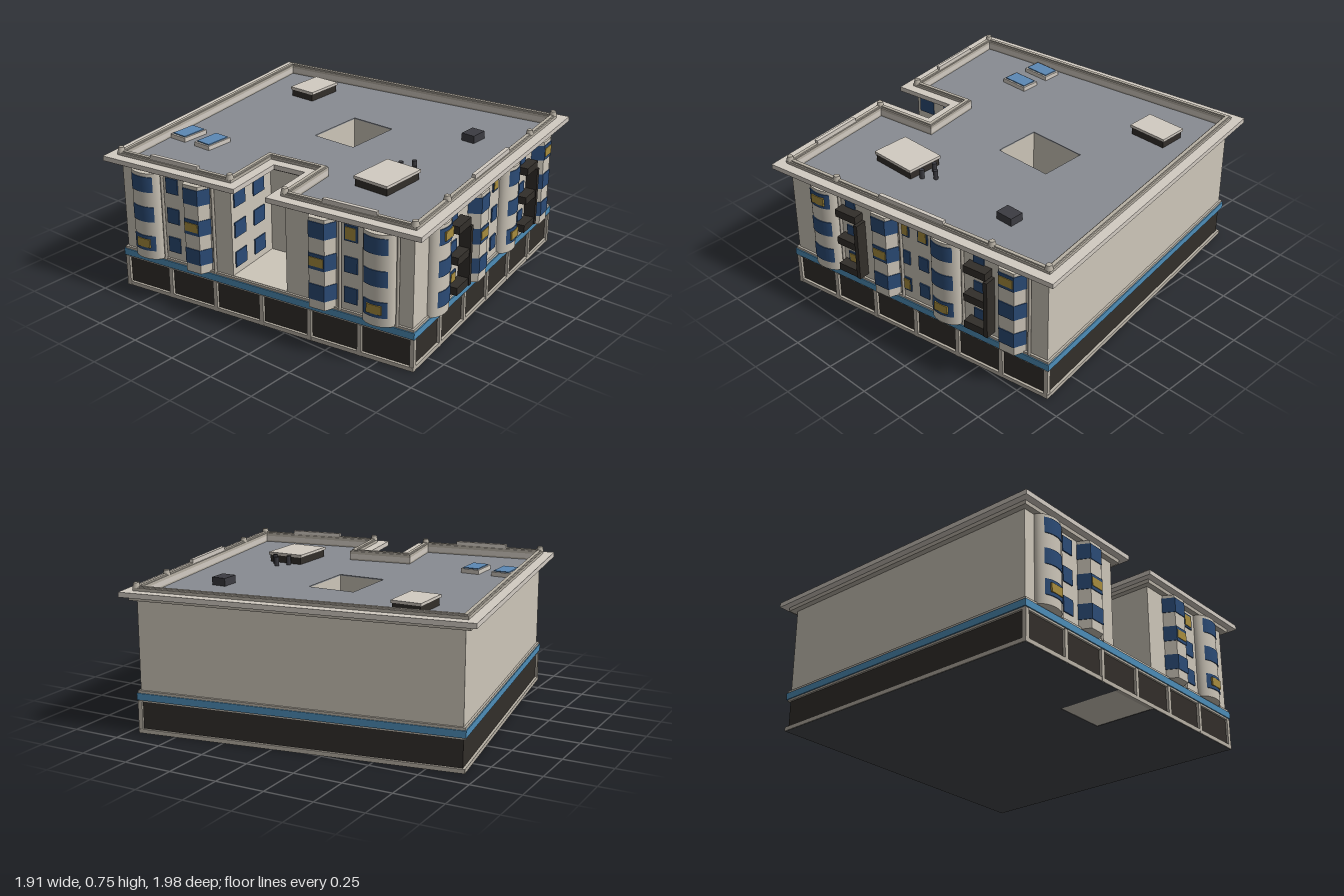
import * as THREE from 'three';
import { toCreasedNormals } from 'three/addons/utils/BufferGeometryUtils.js';

const TURN = THREE.MathUtils.degToRad(8.75);
const paint = (color) => new THREE.MeshStandardMaterial({ color });
const stone = paint(0xcdc6b9), trim = paint(0xb8b1a5), pale = paint(0xd2cbc2), dark = paint(0x322e2a);
const blue = paint(0x4d8db8), glass = paint(0x2b4b76), lit = paint(0xa88d3e), deck = paint(0x888c92);
const under = paint(0x46484b), sky = paint(0x5c88b5), metal = paint(0x3c3c42);

const HX = 0.765, HZ = 0.81; // half sizes of the walls
const FLOORS = [0.297, 0.453, 0.612];

function add(parent, name, geometry, material, x = 0, y = 0, z = 0) {
  const mesh = new THREE.Mesh(geometry, material);
  mesh.name = name;
  mesh.position.set(x, y, z);
  parent.add(mesh);
  return mesh;
}
const box = (parent, name, material, w, h, d, x, y, z) =>
  add(parent, name, new THREE.BoxGeometry(w, h, d), material, x, y, z);

// Plan outline of [x, z] points raised from y0 to y1
function slab(parent, name, material, pts, y0, y1, holes = []) {
  const flip = (list) => list.map(([x, z]) => new THREE.Vector2(x, -z));
  const shape = new THREE.Shape(flip(pts));
  for (const h of holes) shape.holes.push(new THREE.Path(flip(h)));
  const geo = new THREE.ExtrudeGeometry(shape, { depth: y1 - y0, bevelEnabled: false });
  geo.rotateX(-Math.PI / 2);
  return add(parent, name, toCreasedNormals(geo, 0.4), material, 0, y0, 0);
}

const rect = (x0, z0, x1, z1) => [[x0, z0], [x0, z1], [x1, z1], [x1, z0]];
const fullPlan = (o) => rect(-HX - o, -HZ - o, HX + o, HZ + o);

// Wall plan with the courtyard notch on one side, grown outwards by o
function notchedPlan(o) {
  const x = HX + o, z = HZ + o, back = -0.43 - o, n0 = -0.165 + o, n1 = 0.14 - o;
  return [[-x, -z], [-x, n0], [back, n0], [back, n1], [-x, n1], [-x, z], [x, z], [x, -z]];
}

// Plan of a projecting bay; part < 1 gives only its middle, out pushes it forward
function bayPlan(u, round, part = 1, out = 0) {
  if (!round) {
    const d = 0.055 + out, w = 0.07 + out;
    return [[u - w, 0], [u - 0.042, d], [u + 0.042, d], [u + w, 0]];
  }
  const pts = [];
  for (let i = 0; i <= 16; i++) {
    const a = Math.PI / 2 + (i / 16 - 0.5) * Math.PI * part;
    pts.push([u - Math.cos(a) * (0.085 + out), Math.sin(a) * (0.055 + out)]);
  }
  return pts.reverse();
}

function bay(parent, u, round, litFloor) {
  const g = new THREE.Group();
  g.name = round ? 'roundBay' : 'angledBay';
  parent.add(g);
  slab(g, 'bayWall', stone, bayPlan(u, round), 0.21, 0.67);
  FLOORS.forEach((y, i) => {
    slab(g, 'bayWindow', glass, bayPlan(u, round, 0.5, 0.004), y - 0.04, y + 0.04);
    if (i === litFloor) box(g, 'litPane', lit, 0.075, 0.045, 0.012, u, y, 0.056);
  });
  add(g, 'downpipe', new THREE.CylinderGeometry(0.008, 0.008, 0.46, 8), trim, u + 0.095, 0.44, 0.008);
}

function windows(parent, u, w, h, litFloors = []) {
  FLOORS.forEach((y, i) => {
    box(parent, 'window', glass, w, h, 0.008, u, y, 0.002);
    if (litFloors.includes(i)) box(parent, 'litPane', lit, w * 0.75, h * 0.75, 0.008, u, y, 0.005);
  });
}

function balconyStack(parent, u, litFloors) {
  windows(parent, u, 0.06, 0.08, litFloors);
  for (const y of FLOORS) box(parent, 'balcony', dark, 0.125, 0.04, 0.055, u + 0.01, y - 0.033, 0.0275);
  box(parent, 'balconyFin', dark, 0.022, 0.31, 0.06, u + 0.075, 0.4, 0.03);
}

export function createModel() {
  const model = new THREE.Group();
  model.name = 'building';
  const house = new THREE.Group();
  house.name = 'block';
  house.rotation.y = TURN;
  model.add(house);

  // Light shaft, square to the world axes
  const c = Math.cos(TURN), s = Math.sin(TURN);
  const shaft = rect(-0.03, -0.17, 0.29, 0.08).map(([x, z]) => [x * c - z * s, x * s + z * c]);

  // Ground floor
  slab(house, 'underside', under, notchedPlan(0.01), 0, 0.004);
  slab(house, 'shopFront', dark, fullPlan(0), 0.004, 0.17);
  slab(house, 'courtUnderside', stone, rect(-HX - 0.01, -0.155, -0.43, 0.13), 0.002, 0.008);
  slab(house, 'plinth', trim, fullPlan(0.013), 0.001, 0.022, [fullPlan(-0.01)]);
  slab(house, 'lowerTrim', trim, fullPlan(0.01), 0.16, 0.17);
  slab(house, 'signBand', blue, fullPlan(0.016), 0.17, 0.205);
  slab(house, 'upperTrim', trim, fullPlan(0.011), 0.205, 0.218);
  slab(house, 'courtFloor', stone, rect(-HX, -0.165, -0.43, 0.14), 0.21, 0.22);
  slab(house, 'shaftFloor', stone, shaft, 0.21, 0.222);

  // Upper walls and roof
  slab(house, 'walls', stone, notchedPlan(0), 0.21, 0.676, [shaft]);
  slab(house, 'roofDeck', deck, notchedPlan(-0.005), 0.676, 0.682, [shaft]);
  const inner = [notchedPlan(-0.017)];
  slab(house, 'fascia', trim, notchedPlan(0.03), 0.67, 0.69, inner);
  slab(house, 'cornice', pale, notchedPlan(0.065), 0.69, 0.715, inner);
  slab(house, 'parapet', trim, notchedPlan(0.015), 0.715, 0.73, inner);
  slab(house, 'coping', trim, notchedPlan(0.008), 0.73, 0.737, [notchedPlan(-0.01)]);

  // Parapet caps and raised panels
  const caps = [[-HX, -HZ], [-HX, -0.165], [-HX, 0.14], [-HX, HZ], [-0.46, HZ], [0.46, HZ], [HX, HZ]];
  for (const [x, z] of caps) {
    add(house, 'parapetCap', new THREE.CylinderGeometry(0.014, 0.02, 0.025, 12), trim, x, 0.742, z);
  }
  box(house, 'parapetPanel', pale, 0.38, 0.04, 0.02, 0, 0.733, HZ);
  for (const z of [-0.485, 0.485]) box(house, 'parapetPanel', pale, 0.02, 0.04, 0.28, -HX, 0.733, z);

  // Ground floor pillars along the two street sides
  for (let i = 0; i < 7; i++) {
    const t = i / 3 - 1;
    box(house, 'pillar', trim, 0.022, 0.165, 0.022, t * HX, 0.083, HZ + 0.003);
    if (i < 6) box(house, 'pillar', trim, 0.022, 0.165, 0.022, -HX - 0.003, 0.083, t * HZ);
  }

  // Front facade
  const front = new THREE.Group();
  front.name = 'frontFacade';
  front.position.z = HZ;
  house.add(front);
  bay(front, -0.545, true, 2);
  balconyStack(front, -0.385, [0]);
  bay(front, -0.165, false, 1);
  windows(front, -0.05, 0.058, 0.075, [0, 2]);
  windows(front, 0.06, 0.058, 0.075, [2]);
  bay(front, 0.2, true, 0);
  balconyStack(front, 0.385, []);
  bay(front, 0.575, false, 2);

  // Side facade, either side of the court
  const side = new THREE.Group();
  side.name = 'sideFacade';
  side.position.x = -HX;
  side.rotation.y = -Math.PI / 2;
  house.add(side);
  bay(side, -0.66, true, 0);
  windows(side, -0.51, 0.07, 0.08);
  bay(side, -0.36, false, 1);
  bay(side, 0.34, false, 1);
  windows(side, 0.49, 0.07, 0.08, [2]);
  bay(side, 0.64, true, 0);

  // Court wall windows
  const court = new THREE.Group();
  court.name = 'courtWall';
  court.position.set(-0.6, 0, -0.165);
  house.add(court);
  for (const u of [-0.1, 0.06]) windows(court, u, 0.09, 0.08);

  // Rooftop structures, square to the world axes
  for (const [x, z, w, d] of [[-0.267, 0.48, 0.26, 0.2], [0.44, -0.58, 0.215, 0.155]]) {
    box(model, 'plantRoom', dark, w - 0.012, 0.04, d - 0.012, x, 0.7, z);
    box(model, 'plantRoomRoof', pale, w, 0.015, d, x, 0.727, z);
  }
  for (const z of [-0.665, -0.495]) {
    box(model, 'skylightFrame', pale, 0.155, 0.025, 0.1, -0.445, 0.692, z);
    box(model, 'skylightGlass', sky, 0.135, 0.03, 0.082, -0.445, 0.695, z);
  }
  box(model, 'coolingUnit', metal, 0.095, 0.04, 0.075, 0.44, 0.702, 0.483);
  for (const [x, z] of [[-0.113, 0.443], [-0.06, 0.484], [-0.113, 0.525]]) {
    add(model, 'vent', new THREE.CylinderGeometry(0.012, 0.012, 0.05, 10), metal, x, 0.705, z);
  }
  return model;
}
